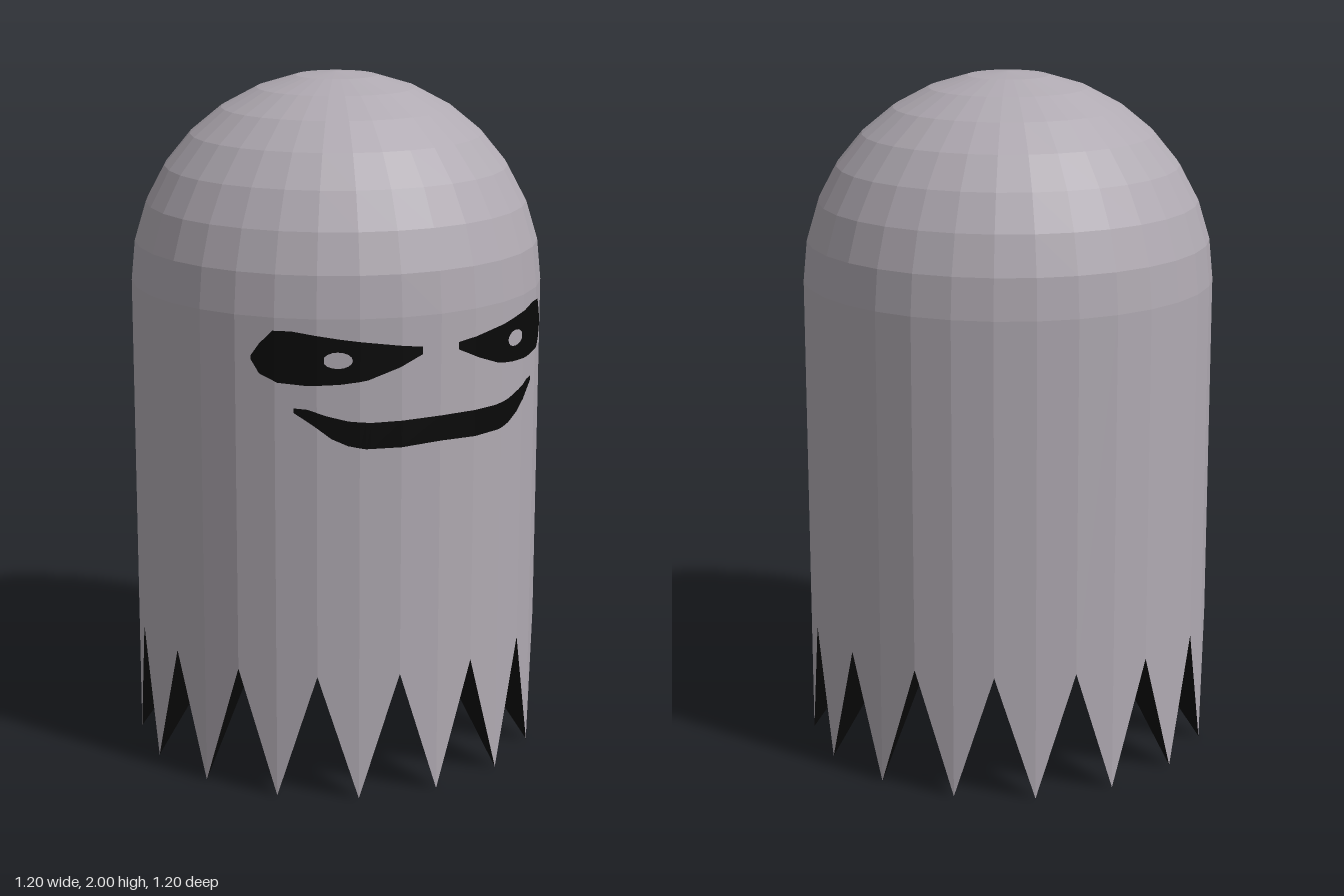
import * as THREE from 'three';

const R = 0.6, SIDES = 32, SHOULDER = 1.4, NOTCH = 0.37;
const STEP = (Math.PI * 2) / SIDES;

// Turn the lowest ring of an open cylinder or cone into a zigzag hem.
function zigzagHem(geometry, height) {
  geometry.translate(0, height / 2, 0);
  const p = geometry.attributes.position;
  for (let i = 0; i < p.count; i++) {
    if (p.getY(i) > 0.001) continue;
    const k = Math.round(Math.atan2(p.getX(i), p.getZ(i)) / STEP);
    p.setY(i, k % 2 === 0 ? 0 : NOTCH);
  }
  geometry.computeVertexNormals();
  return geometry;
}

// Height of a polyline [[x, y], ...] at x.
function heightAt(line, x) {
  let i = 1;
  while (i < line.length - 1 && line[i][0] < x) i++;
  const [x0, y0] = line[i - 1], [x1, y1] = line[i];
  return y0 + ((y1 - y0) * (x - x0)) / (x1 - x0);
}

// Depth of the faceted front wall at x, for a wall of the given radius.
function wallZ(x, radius) {
  const k = Math.floor(Math.asin(x / radius) / STEP);
  const a = k * STEP, b = a + STEP;
  const t = (x / radius - Math.sin(a)) / (Math.sin(b) - Math.sin(a));
  return radius * (Math.cos(a) + t * (Math.cos(b) - Math.cos(a)));
}

// Thin decal between an upper and a lower line, bent around the wall.
function decal(name, upper, lower, lift, material) {
  const radius = R + lift;
  const x0 = upper[0][0], x1 = upper[upper.length - 1][0];
  const xs = [...upper, ...lower].map(q => q[0]);
  for (let k = -8; k <= 8; k++) xs.push(radius * Math.sin(k * STEP));
  const cuts = [...new Set(xs.map(x => +x.toFixed(5)))]
    .filter(x => x >= x0 && x <= x1).sort((a, b) => a - b);
  const pos = [], idx = [];
  cuts.forEach((x, i) => {
    const z = wallZ(x, radius);
    pos.push(x, heightAt(lower, x), z, x, heightAt(upper, x), z);
    if (i > 0) {
      const a = 2 * i - 2;
      idx.push(a, a + 2, a + 3, a, a + 3, a + 1);
    }
  });
  const g = new THREE.BufferGeometry();
  g.setAttribute('position', new THREE.Float32BufferAttribute(pos, 3));
  g.setIndex(idx);
  g.computeVertexNormals();
  const mesh = new THREE.Mesh(g, material);
  mesh.name = name;
  return mesh;
}

const mirror = line => line.map(([x, y]) => [-x, y]).reverse();

export function createModel() {
  const cloth = new THREE.MeshStandardMaterial({ color: 0xb0aab2, flatShading: true });
  cloth.name = 'pale grey cloth';
  const black = new THREE.MeshStandardMaterial({ color: 0x090909, flatShading: true, side: THREE.DoubleSide });
  black.name = 'black';

  const model = new THREE.Group();
  model.name = 'ghost';
  const add = (name, geometry, material) => {
    const mesh = new THREE.Mesh(geometry, material);
    mesh.name = name;
    model.add(mesh);
    return mesh;
  };

  // Domed head and straight body with a ragged hem
  add('head', new THREE.SphereGeometry(R, SIDES, 8, 0, Math.PI * 2, 0, Math.PI / 2), cloth)
    .position.y = SHOULDER;
  add('body', zigzagHem(new THREE.CylinderGeometry(R, R, SHOULDER, SIDES, 1, true), SHOULDER), cloth);

  // Dark lining rising from the hem to a central point
  add('lining', zigzagHem(new THREE.ConeGeometry(R, 0.85, SIDES, 1, true), 0.85), black);

  // Eyes
  const eyeTop = [[0.058, 1.314], [0.14, 1.325], [0.28, 1.345], [0.39, 1.365], [0.43, 1.365], [0.455, 1.325], [0.471, 1.29]];
  const eyeLow = [[0.058, 1.293], [0.13, 1.26], [0.21, 1.23], [0.28, 1.219], [0.36, 1.215], [0.42, 1.22], [0.455, 1.242], [0.471, 1.28]];
  const arc = sign => Array.from({ length: 9 }, (_, i) => {
    const a = Math.PI * (1 - i / 8);
    return [0.286 + 0.036 * Math.cos(a), 1.287 + sign * 0.023 * Math.sin(a)];
  });
  const pupilTop = arc(1), pupilLow = arc(-1);
  model.add(decal('leftEye', eyeTop, eyeLow, 0.004, black));
  model.add(decal('rightEye', mirror(eyeTop), mirror(eyeLow), 0.004, black));
  model.add(decal('leftPupil', pupilTop, pupilLow, 0.007, cloth));
  model.add(decal('rightPupil', mirror(pupilTop), mirror(pupilLow), 0.007, cloth));

  // Mouth
  const grinTop = [[0, 1.114], [0.2, 1.11], [0.26, 1.116], [0.31, 1.13], [0.355, 1.148], [0.385, 1.15]];
  const grinLow = [[0, 1.042], [0.12, 1.036], [0.215, 1.036], [0.26, 1.046], [0.3, 1.066], [0.345, 1.105], [0.385, 1.137]];
  const both = line => [...mirror(line).slice(0, -1), ...line];
  model.add(decal('mouth', both(grinTop), both(grinLow), 0.004, black));

  return model;
}
